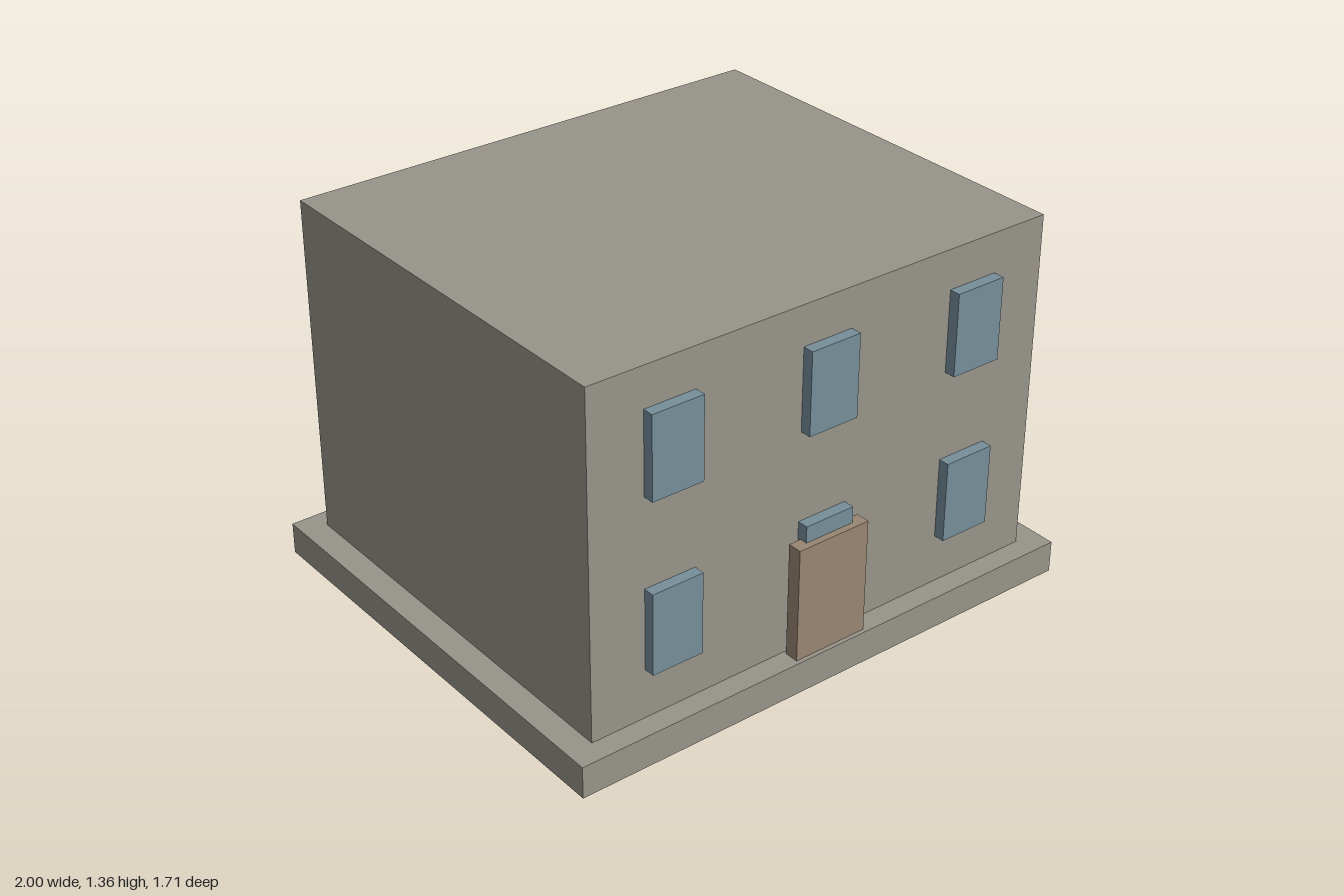
import * as THREE from 'three';

const stone = new THREE.MeshStandardMaterial({ color: 0x97948a });
stone.name = 'stone';
const glass = new THREE.MeshStandardMaterial({ color: 0x778e9a });
glass.name = 'blue glass';
const wood = new THREE.MeshStandardMaterial({ color: 0x998672 });
wood.name = 'brown wood';

// Box of the given size whose bottom rests at height y
function block(name, material, [w, h, d], [x, y, z]) {
  const mesh = new THREE.Mesh(new THREE.BoxGeometry(w, h, d), material);
  mesh.name = name;
  mesh.position.set(x, y + h / 2, z);
  return mesh;
}

export function createModel() {
  const house = new THREE.Group();
  house.name = 'house';

  const baseTop = 0.117;
  const wallZ = 0.776;

  // Foundation slab and main block
  house.add(block('foundation', stone, [2, baseTop, 1.71], [0, 0, 0]));
  house.add(block('building', stone, [1.814, 1.36 - baseTop, wallZ * 2], [0, baseTop, 0]));

  // Two rows of three windows on the front and back
  const windowDepth = 0.04;
  for (const side of [1, -1]) {
    const windows = new THREE.Group();
    windows.name = side > 0 ? 'frontWindows' : 'backWindows';
    for (const y of [0.299, 0.92]) {
      for (const x of [-0.605, 0, 0.605]) {
        windows.add(block('window', glass, [0.193, 0.296, windowDepth],
          [x, y, side * (wallZ + windowDepth / 2)]));
      }
    }
    house.add(windows);
  }

  // Front door, standing just clear of the wall
  house.add(block('door', wood, [0.285, 0.418, 0.052], [0, baseTop, 0.814]));

  return house;
}
